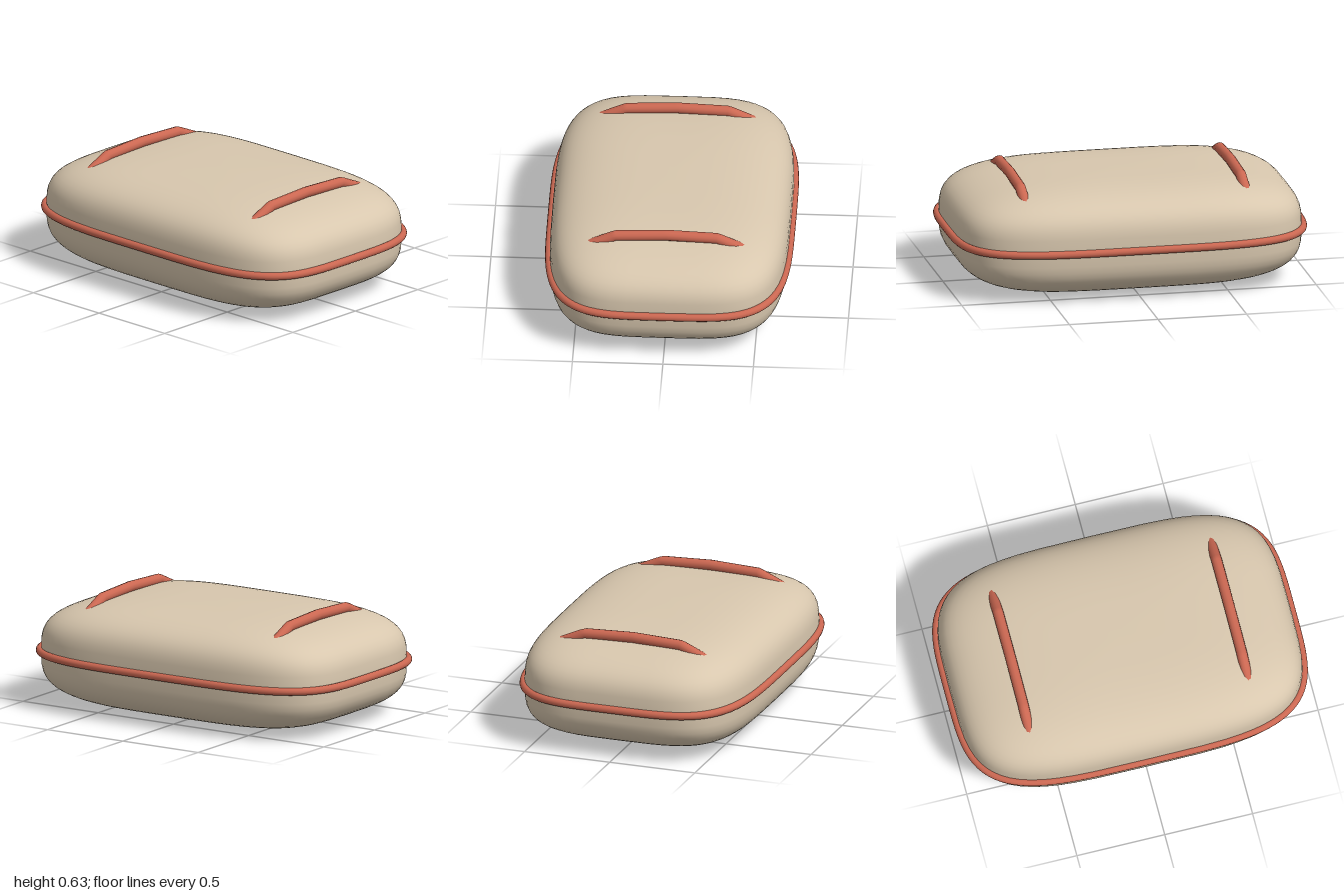
import * as THREE from 'three';
import { mergeVertices } from 'three/addons/utils/BufferGeometryUtils.js';

const HALF = { x: 0.97, y: 0.3, z: 0.66 };
const spow = (v, e) => Math.sign(v) * Math.pow(Math.abs(v), e);

// Pillow-shaped shell: a sphere pushed out towards a box (superellipsoid)
function shellGeometry(nPlan, nSide) {
  let geo = new THREE.SphereGeometry(1, 64, 32);
  geo.deleteAttribute('uv');
  geo.deleteAttribute('normal');
  const p = geo.attributes.position;
  for (let i = 0; i < p.count; i++) {
    const x = p.getX(i), y = p.getY(i), z = p.getZ(i);
    const r = Math.hypot(x, z);
    const a = Math.atan2(z, x);
    const k = Math.pow(r, 2 / nSide);
    p.setXYZ(i,
      HALF.x * k * spow(Math.cos(a), 2 / nPlan),
      HALF.y * spow(y, 2 / nSide),
      HALF.z * k * spow(Math.sin(a), 2 / nPlan));
  }
  geo = mergeVertices(geo, 1e-5);
  geo.computeVertexNormals();
  return geo;
}

// Seam piping that follows the widest outline of the shell
function pipingGeometry(n) {
  const pts = [];
  for (let i = 0; i < 64; i++) {
    const a = (i / 64) * Math.PI * 2;
    pts.push(new THREE.Vector3(
      0.977 * spow(Math.cos(a), 2 / n), 0, 0.664 * spow(Math.sin(a), 2 / n)));
  }
  return new THREE.TubeGeometry(new THREE.CatmullRomCurve3(pts, true), 160, 0.022, 12, true);
}

// Low strap handle whose ends sink into the shell
function handleGeometry() {
  const path = [[-0.5, 0.493], [-0.28, 0.592], [0, 0.604], [0.28, 0.592], [0.5, 0.493]]
    .map(([z, y]) => new THREE.Vector3(0, y, z));
  const curve = new THREE.CatmullRomCurve3(path, false, 'catmullrom', 0);
  return new THREE.TubeGeometry(curve, 60, 0.03, 12, false);
}

export function createModel() {
  const model = new THREE.Group();
  model.name = 'softCase';

  const beige = new THREE.MeshStandardMaterial({ color: 0xd8c7ae });
  beige.name = 'beige';
  const coral = new THREE.MeshStandardMaterial({ color: 0xcc6852 });
  coral.name = 'coral';

  const add = (name, geo, mat, x, y) => {
    const mesh = new THREE.Mesh(geo, mat);
    mesh.name = name;
    mesh.position.set(x, y, 0);
    model.add(mesh);
  };

  add('shell', shellGeometry(4, 3.4), beige, 0, HALF.y);
  add('seamPiping', pipingGeometry(4), coral, 0, HALF.y);

  const handle = handleGeometry();
  add('leftHandle', handle, coral, 0.622, 0);
  add('rightHandle', handle, coral, -0.622, 0);
  return model;
}
